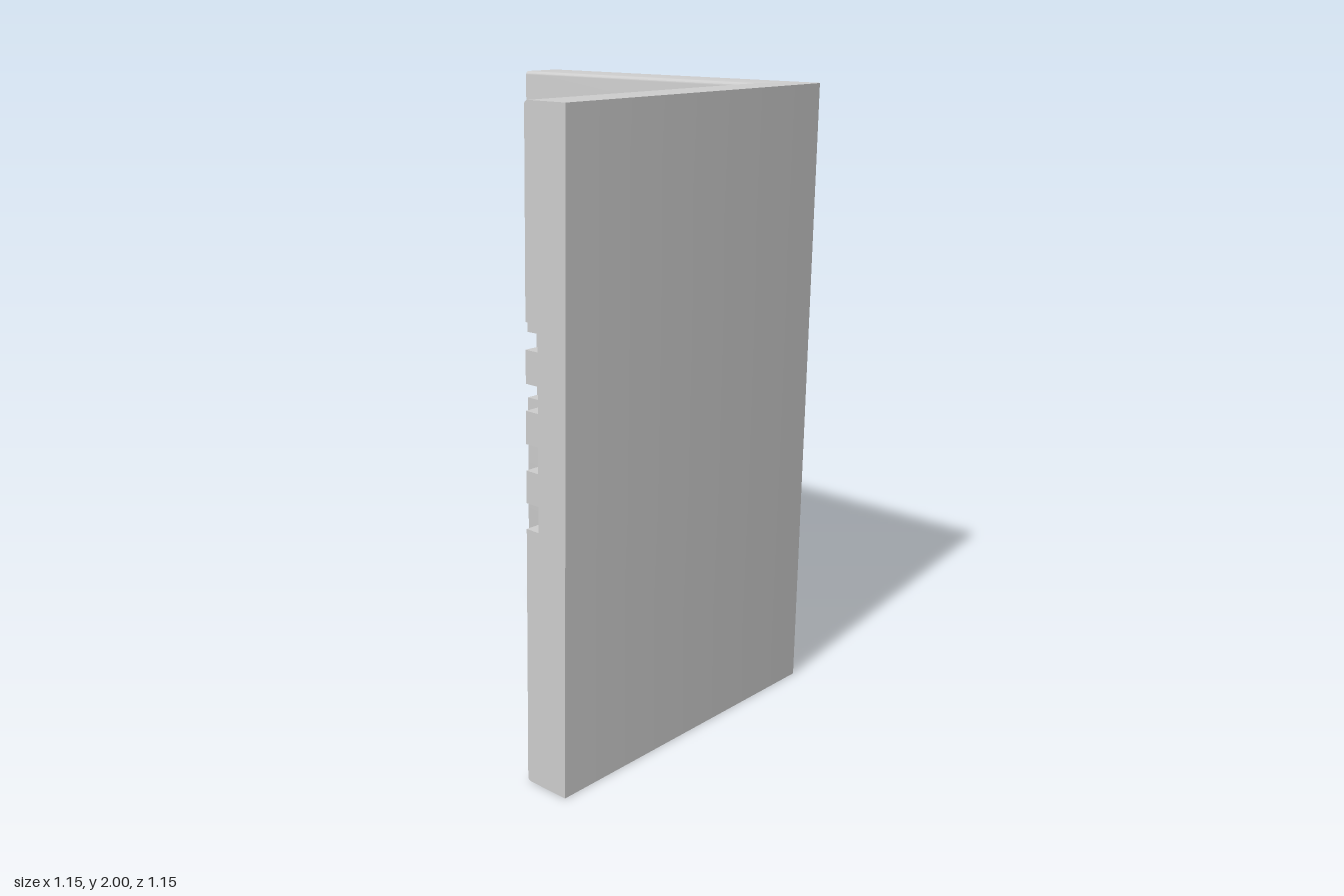
import * as THREE from 'three';
import { toCreasedNormals } from 'three/addons/utils/BufferGeometryUtils.js';

const HALF = 0.574;    // half width of the L in plan
const WALL = 0.152;    // wall thickness
const HEIGHT = 2;
const GROOVE = 0.047;  // groove depth
const ROUND = 0.012;   // small edge rounding
const ARC = 4;         // segments per rounding

// quarter arc around (cx, cz) from angle a0, sweeping by da
function arc(cx, cz, r, a0, da) {
  const pts = [];
  for (let i = 0; i <= ARC; i++) {
    const a = a0 + (da * i) / ARC;
    pts.push([cx + r * Math.cos(a), cz + r * Math.sin(a)]);
  }
  return pts;
}

// L-shaped plan outline for a given wall thickness and inner fillet
function outline(thickness, fillet) {
  const h = HALF, inner = h - thickness;
  return [
    [-h, -h],
    ...arc(h - ROUND, -h + ROUND, ROUND, -Math.PI / 2, Math.PI / 2),
    [h, h],
    [inner, h],
    ...arc(inner - fillet, -inner + fillet, fillet, 0, -Math.PI / 2),
    [-h, -inner],
  ];
}

// wall profile from bottom to top: [thickness, height, inner fillet]
function wallProfile() {
  const rows = [];
  for (let i = 0; i <= ARC; i++) {
    const a = (i / ARC) * Math.PI / 2;
    rows.push([WALL - ROUND * (1 - Math.sin(a)), ROUND * (1 - Math.cos(a)), ROUND]);
  }
  const top = rows.map(([t, y, f]) => [t, HEIGHT - y, f]).reverse();
  for (let i = 0; i < 4; i++) {
    const y0 = 0.798 + i * 0.175, y1 = y0 + 0.078;
    rows.push([WALL, y0, ROUND], [WALL - GROOVE, y0, 0], [WALL - GROOVE, y1, 0], [WALL, y1, ROUND]);
  }
  return [...rows, ...top];
}

function cornerGeometry() {
  const rings = wallProfile().map(([t, y, f]) =>
    outline(t, f).map(([x, z]) => new THREE.Vector3(x, y, z)));
  const positions = [];
  const tri = new THREE.Triangle();
  const addTriangle = (a, b, c) => {
    if (tri.set(a, b, c).getArea() < 1e-9) return;
    for (const p of [a, b, c]) positions.push(p.x, p.y, p.z);
  };

  // walls between neighbouring outlines
  for (let i = 0; i < rings.length - 1; i++) {
    const low = rings[i], high = rings[i + 1];
    for (let j = 0; j < low.length; j++) {
      const k = (j + 1) % low.length;
      addTriangle(low[j], high[j], high[k]);
      addTriangle(low[j], high[k], low[k]);
    }
  }

  // flat top and bottom
  for (const [ring, side] of [[rings[rings.length - 1], 1], [rings[0], -1]]) {
    const shape = new THREE.Shape(ring.map(p => new THREE.Vector2(p.x, -side * p.z)));
    const cap = new THREE.ShapeGeometry(shape).toNonIndexed();
    cap.rotateX(-side * Math.PI / 2).translate(0, ring[0].y, 0);
    positions.push(...cap.attributes.position.array);
  }

  const geometry = new THREE.BufferGeometry();
  geometry.setAttribute('position', new THREE.Float32BufferAttribute(positions, 3));
  return toCreasedNormals(geometry, 0.5);
}

export function createModel() {
  const model = new THREE.Group();
  model.name = 'cornerProfile';
  const material = new THREE.MeshStandardMaterial({ color: 0xcccccc });
  const corner = new THREE.Mesh(cornerGeometry(), material);
  corner.name = 'groovedCornerWalls';
  model.add(corner);
  return model;
}
